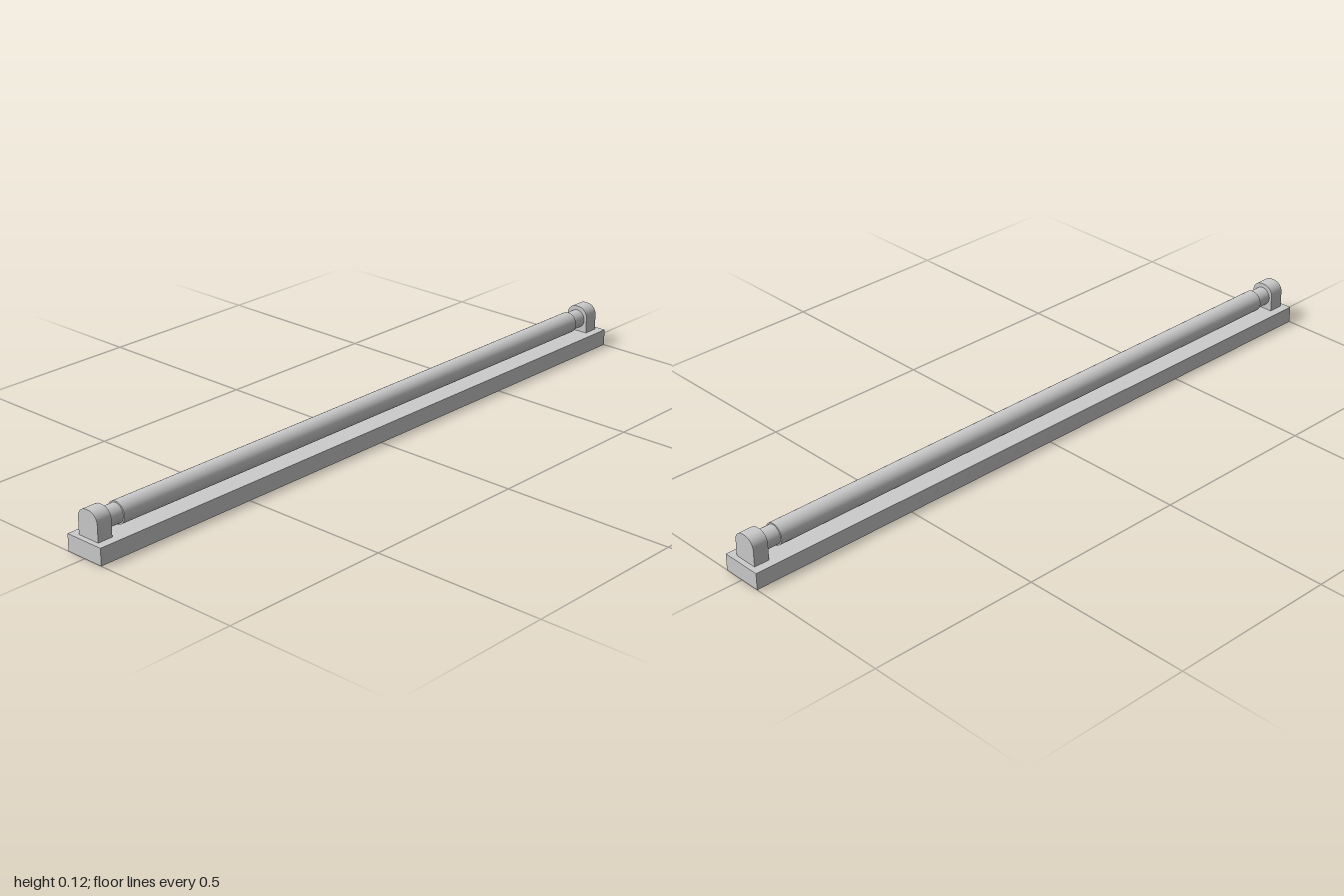
import * as THREE from 'three';

export function createModel() {
  const group = new THREE.Group();
  const mat = new THREE.MeshStandardMaterial({ color: 0xcccccc });
  const add = (name, geo, y = 0, z = 0) => {
    const mesh = new THREE.Mesh(geo, mat);
    mesh.name = name;
    mesh.position.set(0, y, z);
    group.add(mesh);
  };

  const baseH = 0.048, axisY = 0.086;

  // Long flat mounting batten
  add('base', new THREE.BoxGeometry(0.12, baseH, 2), baseH / 2);

  // Lamp tube lying along z
  const rod = (r, len) => new THREE.CylinderGeometry(r, r, len, 48).rotateX(Math.PI / 2);
  add('tube', rod(0.031, 1.79), axisY);

  // Round-topped holder outline
  const w = 0.035, top = 0.125, r = 0.03;
  const arch = new THREE.Shape();
  arch.moveTo(-w, baseH);
  arch.lineTo(w, baseH);
  arch.lineTo(w, top - r);
  arch.absarc(w - r, top - r, r, 0, Math.PI / 2, false);
  arch.absarc(r - w, top - r, r, Math.PI / 2, Math.PI, false);
  arch.closePath();

  // End cap and holder at each end
  for (const [side, s] of [['front', 1], ['back', -1]]) {
    add(side + 'EndCap', rod(0.027, 0.06), axisY, s * 0.92);
    const holder = new THREE.ExtrudeGeometry(arch, { depth: 0.045, bevelEnabled: false, curveSegments: 16 });
    holder.translate(0, 0, -0.0225);
    add(side + 'Holder', holder, 0, s * 0.9625);
  }
  return group;
}
